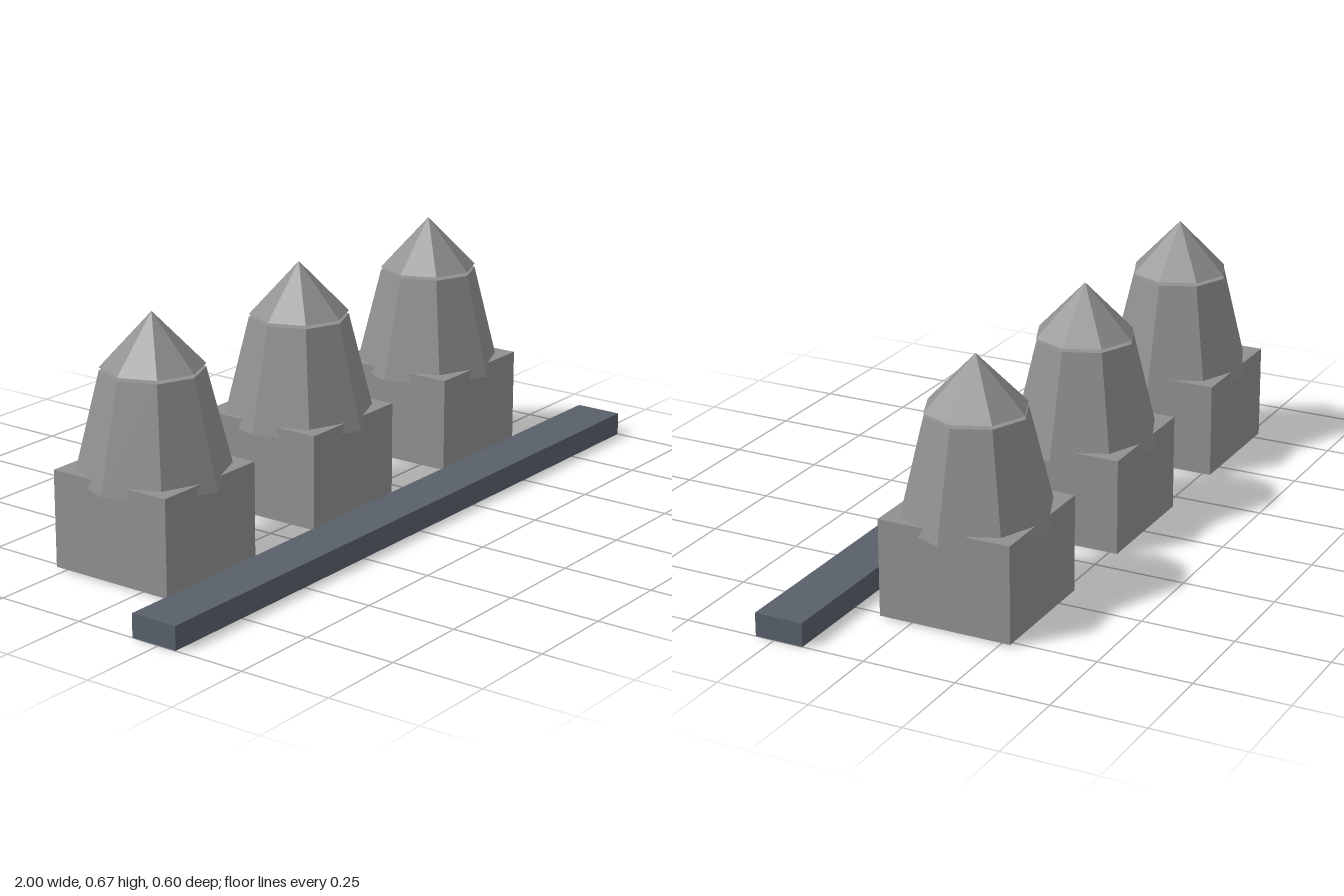
import * as THREE from 'three';

export function createModel() {
  const model = new THREE.Group();
  const stone = new THREE.MeshStandardMaterial({ name: 'grey stone', color: 0x909090, flatShading: true });
  const slate = new THREE.MeshStandardMaterial({ name: 'slate blue', color: 0x59606a, flatShading: true });

  function add(parent, name, geometry, material, x, y, z) {
    const mesh = new THREE.Mesh(geometry, material);
    mesh.name = name;
    mesh.position.set(x, y, z);
    parent.add(mesh);
  }

  // Long low kerb in front of the pillars
  add(model, 'kerb', new THREE.BoxGeometry(2, 0.063, 0.133), slate, 0, 0.0315, 0.236);

  // Three pillars: square base, tapered octagonal shaft, floating pointed cap
  const base = new THREE.BoxGeometry(0.35, 0.26, 0.363);
  const shaft = new THREE.CylinderGeometry(0.134, 0.204, 0.281, 8);
  const cap = new THREE.ConeGeometry(0.134, 0.14, 8);
  ['right', 'middle', 'left'].forEach((side, i) => {
    const pillar = new THREE.Group();
    pillar.name = `${side}Pillar`;
    pillar.position.set((i - 1) * 0.598, 0, -0.096);
    add(pillar, 'base', base, stone, 0, 0.135, 0);
    add(pillar, 'shaft', shaft, stone, 0, 0.3795, 0);
    add(pillar, 'cap', cap, stone, 0, 0.599, 0);
    model.add(pillar);
  });

  return model;
}
